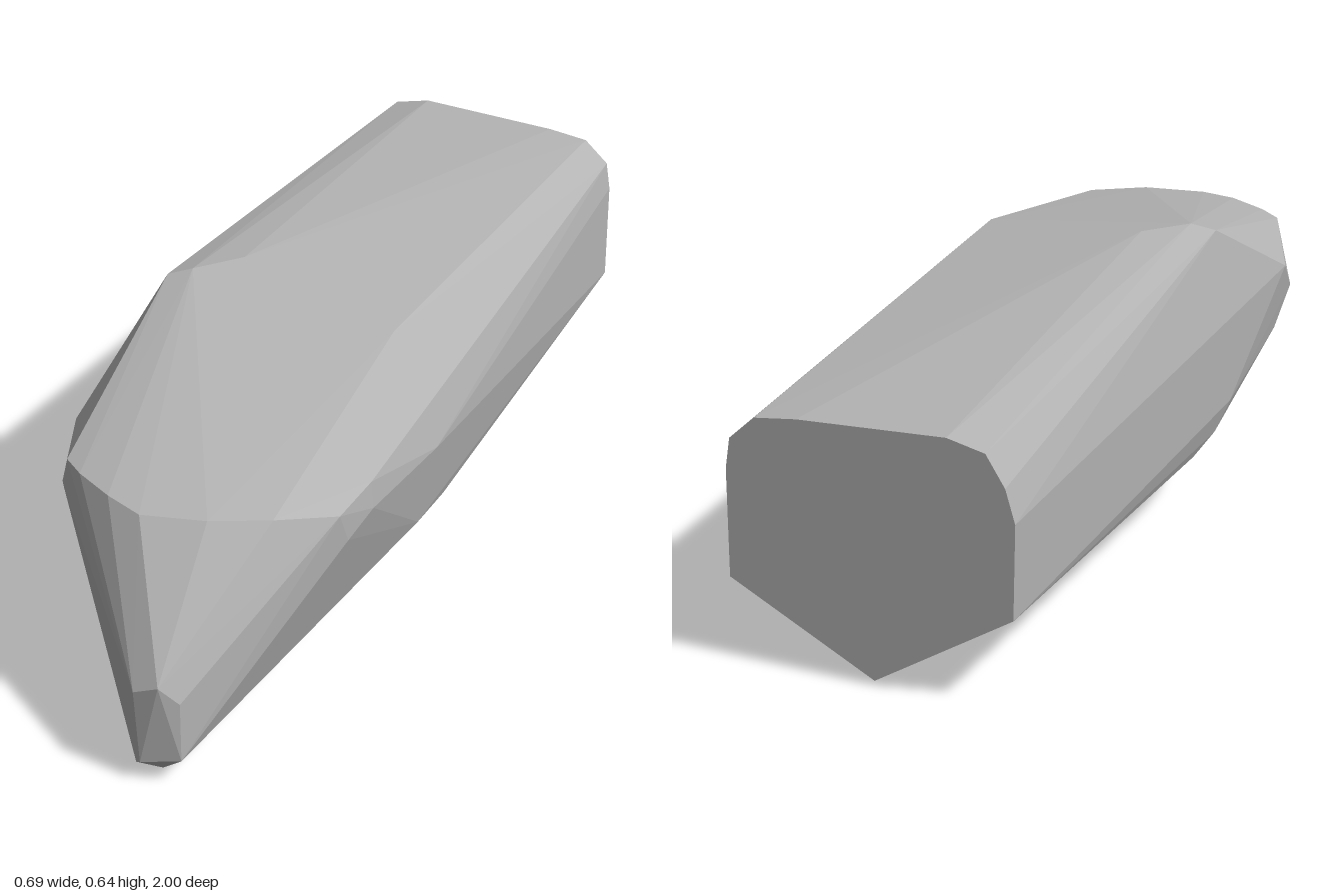
import * as THREE from 'three';
import { ConvexGeometry } from 'three/addons/geometries/ConvexGeometry.js';

// Blunt nose tip, tilted to one side
const nose = [
  [0.05, 0.22, 1], [0.105, 0.245, 1], [0.14, 0.2, 0.975], [0.14, 0.06, 0.975],
  [0.06, 0.05, 1], [0.03, 0.012, 0.96], [0.085, 0.008, 0.95],
];
// Rounded brow where the sloping top meets the nose
const brow = [
  [-0.26, 0.485, 0.67], [-0.21, 0.488, 0.71], [-0.12, 0.49, 0.76], [-0.035, 0.486, 0.79],
  [0.1, 0.49, 0.76], [0.215, 0.487, 0.7], [0.31, 0.455, 0.59], [0.33, 0.477, 0.48],
];
// Cheeks on both sides
const cheeks = [
  [-0.348, 0.443, 0.47], [-0.27, 0.41, 0.67], [-0.325, 0.36, 0.58], [-0.315, 0.28, 0.5],
  [0.335, 0.415, 0.48], [0.315, 0.38, 0.56],
];
// Widest and highest ring of the body
const middle = [
  [-0.3, 0.625, 0.13], [-0.25, 0.64, 0.11], [-0.17, 0.64, 0.02], [0.215, 0.595, 0.1],
  [0.345, 0.38, 0.17], [0.305, 0.18, 0.17], [0.293, 0.147, 0],
  [0.07, 0, 0.1], [-0.02, 0, -0.1], [-0.04, 0.01, 0.2],
  [-0.303, 0.147, 0], [-0.315, 0.17, 0.1], [-0.333, 0.23, 0.15],
];
// Flat rear outline
const rear = [
  [-0.01, 0.01], [0.3, 0.18], [0.3, 0.41], [0.29, 0.475], [0.235, 0.525], [0.145, 0.535],
  [-0.17, 0.545], [-0.25, 0.525], [-0.29, 0.46], [-0.31, 0.39], [-0.305, 0.19],
].map(([x, y]) => [x, y, -1]);

export function createModel() {
  const group = new THREE.Group();
  const grey = new THREE.MeshStandardMaterial({ color: 0xb4b4b4 });
  grey.name = 'grey';
  // The faceted shell is stretched over all rings
  const points = [...nose, ...brow, ...cheeks, ...middle, ...rear].map((p) => new THREE.Vector3(...p));
  const hull = new THREE.Mesh(new ConvexGeometry(points), grey);
  hull.name = 'hull';
  group.add(hull);
  return group;
}
